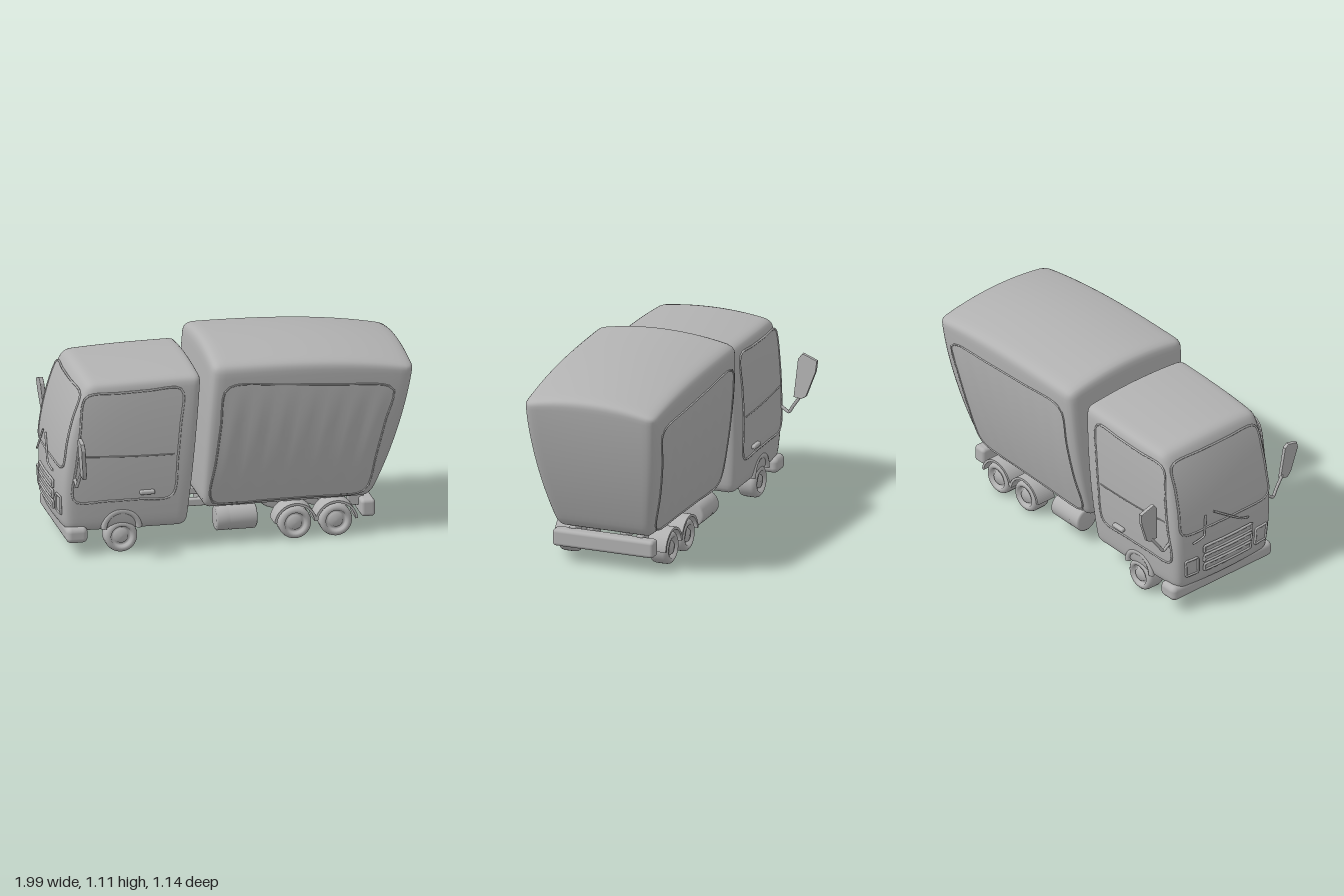
import * as THREE from 'three';
import { mergeVertices } from 'three/addons/utils/BufferGeometryUtils.js';
import { RoundedBoxGeometry } from 'three/addons/geometries/RoundedBoxGeometry.js';

const V = (x, y, z) => new THREE.Vector3(x, y, z);
const clamp = THREE.MathUtils.clamp;
const lerp = THREE.MathUtils.lerp;

// Parabola through three [t, value] points
const curve = (a, b, c) => (t) =>
  a[1] * (t - b[0]) * (t - c[0]) / ((a[0] - b[0]) * (a[0] - c[0])) +
  b[1] * (t - a[0]) * (t - c[0]) / ((b[0] - a[0]) * (b[0] - c[0])) +
  c[1] * (t - a[0]) * (t - b[0]) / ((c[0] - a[0]) * (c[0] - b[0]));

// Cab body: u runs front to back, v bottom to top, w across (-1..1)
const cab = {
  y0: 0.13, h: 0.89,
  front: curve([0, -0.94], [0.35, -0.955], [1, -0.82]),
  back: curve([0, -0.265], [0.5, -0.22], [1, -0.185]),
  half: curve([0, 0.338], [0.4, 0.366], [1, 0.352]),
  at(u, v, w) {
    const x = lerp(this.front(v), this.back(v), u) - 0.02 * (1 - w * w) * (1 - u);
    const y = this.y0 + v * this.h - (0.025 * w * w + 0.015 * (1 - u) ** 2) * v ** 6;
    return V(x, y, w * this.half(v) * (1 - 0.05 * (1 - u) ** 4));
  },
};

// Cargo body, same coordinates
const cargo = {
  y0: 0.205, h: 0.905,
  front: curve([0, -0.167], [0.5, -0.163], [1, -0.135]),
  back: curve([0, 0.775], [0.47, 0.925], [1, 1.0]),
  half: curve([0, 0.295], [0.45, 0.382], [1, 0.415]),
  at(u, v, w) {
    const x = lerp(this.front(v), this.back(v), u);
    const y = this.y0 + v * this.h - (0.05 * w * w + 0.085 * u ** 3) * v ** 4;
    return V(x, y, w * this.half(v) * (1 - 0.06 * u * u));
  },
};

// Rounded box whose vertices are moved by a body's rule
function bodyGeometry(body, size, r) {
  const n = 24;
  const g = new THREE.BoxGeometry(1, 1, 1, n, n, n);
  g.deleteAttribute('uv');
  g.deleteAttribute('normal');
  const p = g.attributes.position;
  const q = V(), inner = V();
  for (let i = 0; i < p.count; i++) {
    q.fromBufferAttribute(p, i);
    for (let k = 0; k < 3; k++) {
      const a = 0.5 * Math.sin(Math.PI * q.getComponent(k)) * size[k];
      q.setComponent(k, a);
      inner.setComponent(k, clamp(a, r - size[k] / 2, size[k] / 2 - r));
    }
    q.sub(inner).setLength(r).add(inner);
    const s = body.at(q.x / size[0] + 0.5, q.y / size[1] + 0.5, 2 * q.z / size[2]);
    p.setXYZ(i, s.x, s.y, s.z);
  }
  const m = mergeVertices(g, 1e-5);
  m.computeVertexNormals();
  return m;
}

// Round-cornered skin that follows a surface rule f(s, t)
function patchGeometry(f, round = 0.15) {
  const g = new THREE.PlaneGeometry(2, 2, 40, 16);
  const p = g.attributes.position;
  for (let i = 0; i < p.count; i++) {
    let x = Math.sin(p.getX(i) * Math.PI / 2), y = Math.sin(p.getY(i) * Math.PI / 2);
    const cx = clamp(x, round - 1, 1 - round), cy = clamp(y, round - 1, 1 - round);
    const len = Math.hypot(x - cx, y - cy);
    if (len > 0) {
      const k = Math.max(Math.abs(x - cx), Math.abs(y - cy)) / len;
      x = cx + (x - cx) * k;
      y = cy + (y - cy) * k;
    }
    const s = f((x + 1) / 2, (y + 1) / 2);
    p.setXYZ(i, s.x, s.y, s.z);
  }
  g.computeVertexNormals();
  return g;
}

// Thin bead around a patch
function beadGeometry(f, radius) {
  const pts = [];
  const steps = [0.05, 0.35, 0.65, 0.95];
  for (const a of steps) pts.push(f(a, 0));
  for (const a of steps) pts.push(f(1, a));
  for (const a of steps) pts.push(f(1 - a, 1));
  for (const a of steps) pts.push(f(0, 1 - a));
  return new THREE.TubeGeometry(new THREE.CatmullRomCurve3(pts, true), 80, radius, 6, true);
}

// Surface rule for a side panel with [x, y] corners: bl, br, tr, tl
function sideRule(body, [bl, br, tr, tl], side, lift) {
  return (s, t) => {
    const x = lerp(lerp(bl[0], br[0], s), lerp(tl[0], tr[0], s), t);
    const y = lerp(lerp(bl[1], br[1], s), lerp(tl[1], tr[1], s), t);
    const v = (y - body.y0) / body.h;
    const u = (x - body.front(v)) / (body.back(v) - body.front(v));
    const p = body.at(u, v, side);
    p.z += side * lift(s, t);
    return p;
  };
}

// Surface rule on the cab front, from heights and w limits
const frontRule = (y0, y1, w0, w1, lift) => (s, t) => {
  const p = cab.at(0, (lerp(y0, y1, t) - cab.y0) / cab.h, lerp(w0, w1, s));
  p.x -= lift;
  return p;
};

export function createModel() {
  const truck = new THREE.Group();
  truck.name = 'truck';
  const grey = new THREE.MeshStandardMaterial({ color: 0xb2b2b2, side: THREE.DoubleSide });
  grey.name = 'plain grey';
  const add = (name, geo, x = 0, y = 0, z = 0) => {
    const m = new THREE.Mesh(geo, grey);
    m.name = name;
    m.position.set(x, y, z);
    truck.add(m);
    return m;
  };
  const box = (name, x0, x1, y0, y1, z0, z1, r) => add(name,
    new RoundedBoxGeometry(x1 - x0, y1 - y0, z1 - z0, 3, r), (x0 + x1) / 2, (y0 + y1) / 2, (z0 + z1) / 2);
  const tube = (name, pts, r) => add(name, new THREE.TubeGeometry(
    new THREE.CatmullRomCurve3(pts, false, 'catmullrom', 0.2), 24, r, 8));

  // Main bodies
  add('cab', bodyGeometry(cab, [0.72, 0.89, 0.72], 0.05));
  add('cargoBody', bodyGeometry(cargo, [1.1, 0.9, 0.8], 0.055));

  // Windscreen, headlights and grille
  const screen = frontRule(0.5, 0.95, -0.9, 0.9, 0.003);
  add('windscreen', patchGeometry(screen));
  add('windscreenSeal', beadGeometry(screen, 0.006));
  for (const y of [0.23, 0.29, 0.35]) {
    const slat = frontRule(y, y + 0.04, -0.5, 0.5, 0.012);
    add('grilleSlat', patchGeometry(slat, 0.1));
    add('grilleRim', beadGeometry(slat, 0.008));
  }
  for (const s of [-1, 1]) {
    const lamp = frontRule(0.23, 0.33, s * 0.62, s * 0.86, 0.006);
    add('headlight', patchGeometry(lamp, 0.2));
    add('headlightRim', beadGeometry(lamp, 0.007));
    tube('wiper', [V(-0.98, 0.44, s * 0.2 - 0.05), V(-0.993, 0.47, s * 0.13 - 0.05), V(-0.968, 0.58, s * 0.03 - 0.12)], 0.006);
  }
  box('frontBumper', -0.945, -0.825, 0.075, 0.165, -0.36, 0.36, 0.03);

  // Wheel profile, from the inner face to the hub
  const wheel = new THREE.LatheGeometry([
    [0, -0.055], [0.075, -0.055], [0.088, -0.045], [0.092, -0.03], [0.092, 0.03], [0.088, 0.045], [0.076, 0.055],
    [0.06, 0.055], [0.055, 0.035], [0.042, 0.033], [0.036, 0.048], [0, 0.05],
  ].map(([r, y]) => new THREE.Vector2(r, y)), 32);
  const arc = new THREE.Shape();
  arc.absarc(0, 0, 0.12, 0.1, Math.PI - 0.1, false);
  arc.absarc(0, 0, 0.106, Math.PI - 0.1, 0.1, true);
  const fender = new THREE.ExtrudeGeometry(arc, { depth: 0.12, bevelEnabled: false, curveSegments: 20 });

  const mirrors = {
    1: [[0.463, 0.51], [0.48, 0.71], [0.5, 0.728], [0.558, 0.713], [0.567, 0.68], [0.53, 0.53], [0.51, 0.5]],
    '-1': [[0.44, 0.524], [0.457, 0.735], [0.48, 0.765], [0.563, 0.735], [0.557, 0.675], [0.506, 0.533], [0.48, 0.518]],
  };

  for (const s of [1, -1]) {
    // Cab doors with window, sill and handle
    const door = sideRule(cab, [[-0.915, 0.31], [-0.345, 0.31], [-0.29, 0.955], [-0.845, 0.945]], s, () => 0.002);
    add('doorPanel', patchGeometry(door, 0.14));
    add('doorSeal', beadGeometry(door, 0.006));
    const sill = [];
    for (let i = 0; i <= 6; i++) sill.push(door(0.03 + i * 0.155, 0.42 - 0.03 * Math.sin(i / 6 * Math.PI / 2)));
    tube('windowSill', sill, 0.004);
    box('doorHandle', -0.54, -0.455, 0.34, 0.365, s * 0.372 - 0.014, s * 0.372 + 0.014, 0.01);

    // Rippled cargo side panels
    const side = sideRule(cargo, [[-0.135, 0.235], [0.745, 0.235], [0.89, 0.92], [-0.065, 0.975]], s,
      (a, t) => 0.003 + 0.005 * Math.sin(Math.PI * t) * Math.sin(a * Math.PI * 7) ** 2);
    add('cargoSidePanel', patchGeometry(side, 0.07));
    add('cargoSideSeal', beadGeometry(side, 0.005));

    // Mirrors on bent arms
    const outline = new THREE.Shape(mirrors[s].map(([z, y]) => new THREE.Vector2(-s * z, y)));
    const plate = new THREE.ExtrudeGeometry(outline, {
      depth: 0.012, bevelThickness: 0.006, bevelSize: 0.004, bevelSegments: 2,
    });
    plate.rotateY(-Math.PI / 2);
    const p = plate.attributes.position;
    for (let i = 0; i < p.count; i++) p.setXYZ(i, p.getX(i) - 0.875 - 0.1 * (p.getY(i) - 0.5), p.getY(i), -p.getZ(i) * 1);
    // Flip winding after mirroring z
    const nonIdx = p.array;
    for (let i = 0; i < nonIdx.length; i += 9) {
      for (let k = 0; k < 3; k++) [nonIdx[i + 3 + k], nonIdx[i + 6 + k]] = [nonIdx[i + 6 + k], nonIdx[i + 3 + k]];
    }
    plate.computeVertexNormals();
    const m = add('mirror', plate);
    plate.computeBoundingBox();
    if (Math.sign(plate.boundingBox.max.z + plate.boundingBox.min.z) !== s) m.rotation.set(0, 0, 0), m.scale.z = -1;
    tube('mirrorArm', [V(-0.89, 0.53, s * 0.475), V(-0.895, 0.46, s * 0.425), V(-0.9, 0.42, s * 0.398), V(-0.9, 0.45, s * 0.35)], 0.009);

    // Wheels, arches and fenders
    for (const [x, z] of [[-0.635, 0.29], [0.345, 0.272], [0.575, 0.272]]) {
      const w = add('wheel', wheel, x, 0.095, s * z);
      w.rotation.x = s * Math.PI / 2;
      if (x > 0) add('rearFender', fender, x, 0.092, s * 0.272 - 0.06);
    }
    add('frontWheelArch', new THREE.TorusGeometry(0.098, 0.018, 8, 24, Math.PI), -0.635, 0.145, s * 0.336);

    // Fuel tanks and chassis rails
    const tank = add('fuelTank', new THREE.LatheGeometry([
      [0, -0.115], [0.06, -0.115], [0.072, -0.105], [0.072, -0.045], [0.068, -0.04], [0.072, -0.035],
      [0.072, 0.105], [0.06, 0.115], [0, 0.115],
    ].map(([r, y]) => new THREE.Vector2(r, y)), 28), 0.02, 0.137, s * 0.25);
    tank.rotation.z = -Math.PI / 2;
    box('chassisRail', -0.28, 0.74, 0.165, 0.207, s * 0.1 - 0.02, s * 0.1 + 0.02, 0.008);
    box('bumperBracket', 0.66, 0.75, 0.14, 0.205, s * 0.2 - 0.02, s * 0.2 + 0.02, 0.008);
  }

  // Axles and rear bumper
  for (const x of [-0.635, 0.345, 0.575]) {
    add('axle', new THREE.CylinderGeometry(0.016, 0.016, 0.5, 16), x, 0.09, 0).rotation.x = Math.PI / 2;
  }
  box('rearBumper', 0.72, 0.8, 0.095, 0.193, -0.3, 0.3, 0.02);
  return truck;
}
